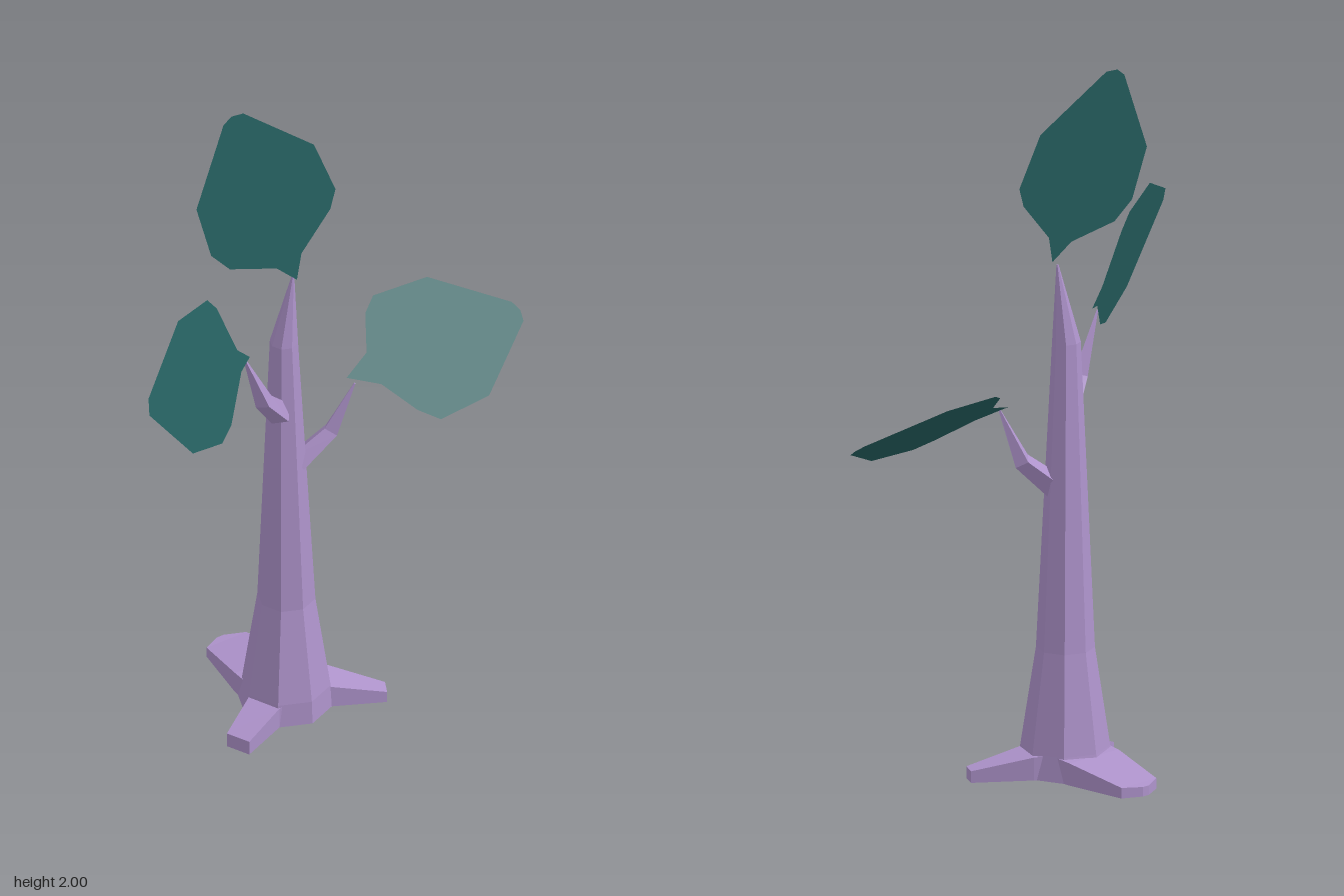
import * as THREE from 'three';

const bark = new THREE.MeshStandardMaterial({ color: 0xae93cb, flatShading: true });
bark.name = 'lilac bark';
const foliage = new THREE.MeshStandardMaterial({ color: 0x266161, flatShading: true, side: THREE.DoubleSide });
foliage.name = 'dark teal leaf';

const V = (x, y, z) => new THREE.Vector3(x, y, z);

// Closed skin over cross-sections of equal point count
function loft(rings) {
  const pos = [];
  const tri = (...pts) => pts.forEach(p => pos.push(p.x, p.y, p.z));
  const n = rings[0].length;
  for (let r = 0; r < rings.length - 1; r++) {
    const a = rings[r], b = rings[r + 1];
    for (let i = 0; i < n; i++) {
      const j = (i + 1) % n;
      tri(a[i], a[j], b[j]);
      tri(a[i], b[j], b[i]);
    }
  }
  const first = rings[0], last = rings[rings.length - 1];
  for (let i = 1; i < n - 1; i++) {
    tri(first[0], first[i + 1], first[i]);
    tri(last[0], last[i], last[i + 1]);
  }
  const g = new THREE.BufferGeometry();
  g.setAttribute('position', new THREE.Float32BufferAttribute(pos, 3));
  g.computeVertexNormals();
  return g;
}

// Regular ring of n points around an axis
function ring(center, radius, n, axis = V(0, 1, 0)) {
  const q = new THREE.Quaternion().setFromUnitVectors(V(0, 1, 0), axis.clone().normalize());
  return Array.from({ length: n }, (_, i) => {
    const t = (i / n) * Math.PI * 2;
    return V(Math.sin(t) * radius, 0, Math.cos(t) * radius).applyQuaternion(q).add(center);
  });
}

// Upright four-cornered root section between two ground points
const section = ([x1, z1, x2, z2, bottom, top]) =>
  [V(x1, bottom, z1), V(x2, bottom, z2), V(x2, top, z2), V(x1, top, z1)];

// Flat leaf: outline in two axes, third axis given by a plane rule
function leaf(outline, place) {
  const g = new THREE.ShapeGeometry(new THREE.Shape(outline.map(p => new THREE.Vector2(...p))));
  const p = g.attributes.position;
  for (let i = 0; i < p.count; i++) p.setXYZ(i, ...place(p.getX(i), p.getY(i)));
  g.computeVertexNormals();
  return g;
}

export function createModel() {
  const model = new THREE.Group();
  const add = (name, geometry, material) => {
    const m = new THREE.Mesh(geometry, material);
    m.name = name;
    model.add(m);
  };

  // Tapering eight-sided trunk
  add('trunk', loft([
    ring(V(-0.03, 0.03, 0), 0.13, 8),
    ring(V(-0.03, 0.1, 0.005), 0.122, 8),
    ring(V(-0.028, 0.38, 0.002), 0.08, 8),
    ring(V(-0.047, 1.24, 0.018), 0.039, 8),
    ring(V(-0.025, 1.46, 0.03), 0.003, 8),
  ]), bark);

  // Roots
  add('backRoot', loft([
    [0.065, -0.02, -0.125, -0.02, 0.03, 0.1],
    [0.063, -0.11, -0.12, -0.11, 0.03, 0.093],
    [0.04, -0.29, -0.09, -0.29, 0.03, 0.06],
    [-0.015, -0.317, -0.037, -0.317, 0.03, 0.057],
  ].map(section)), bark);
  add('leftRoot', loft([
    [0, 0.1, 0.03, -0.06, 0.03, 0.1],
    [0.055, 0.092, 0.1, -0.01, 0.03, 0.095],
    [0.2, 0.152, 0.222, 0.11, 0.022, 0.055],
  ].map(section)), bark);
  add('rightRoot', loft([
    [-0.1, -0.05, -0.06, 0.1, 0.03, 0.1],
    [-0.155, 0.005, -0.115, 0.095, 0.03, 0.092],
    [-0.26, 0.055, -0.232, 0.122, 0.003, 0.045],
  ].map(section)), bark);

  // Bent branches with pointed tips
  add('leftBranch', loft([
    ring(V(-0.01, 0.835, 0.03), 0.036, 4, V(0.8, 0.6, 0.2)),
    ring(V(0.082, 0.918, 0.058), 0.027, 4, V(0.5, 0.8, 0.1)),
    ring(V(0.136, 1.07, 0.09), 0.003, 4, V(0.3, 0.9, 0.1)),
  ]), bark);
  add('rightBranch', loft([
    ring(V(-0.07, 1.02, 0.035), 0.036, 4, V(-0.7, 0.7, 0.2)),
    ring(V(-0.148, 1.11, 0.068), 0.027, 4, V(-0.4, 0.9, 0.1)),
    ring(V(-0.214, 1.28, 0.072), 0.003, 4, V(-0.3, 0.9, 0)),
  ]), bark);

  // Leaves
  add('topLeaf', leaf([
    [-0.03, 1.46], [-0.01, 1.535], [0.085, 1.645], [0.105, 1.7], [0.055, 1.85], [-0.14, 2],
    [-0.175, 2], [-0.2, 1.98], [-0.3, 1.75], [-0.27, 1.6], [-0.22, 1.545], [-0.085, 1.51],
  ], (x, y) => [x, y, 0.272 + 0.168 * x - 0.145 * y]), foliage);
  add('rightLeaf', leaf([
    [-0.2, 1.285], [-0.25, 1.335], [-0.305, 1.485], [-0.34, 1.53], [-0.487, 1.563], [-0.685, 1.47],
    [-0.695, 1.43], [-0.535, 1.225], [-0.397, 1.167], [-0.34, 1.183], [-0.25, 1.275],
  ], (x, y) => [x, y, 0.39 - 0.585 * x - 0.334 * y]), foliage);
  add('leftLeaf', leaf([
    [0.125, 0.067], [0.21, 0.11], [0.27, 0.195], [0.32, 0.235], [0.485, 0.225], [0.687, 0.095],
    [0.694, 0.07], [0.683, 0.045], [0.49, -0.08], [0.317, -0.086], [0.27, -0.055], [0.216, 0.03],
  ], (x, z) => [x, 1.126 - 0.7 * z, z]), foliage);

  return model;
}
